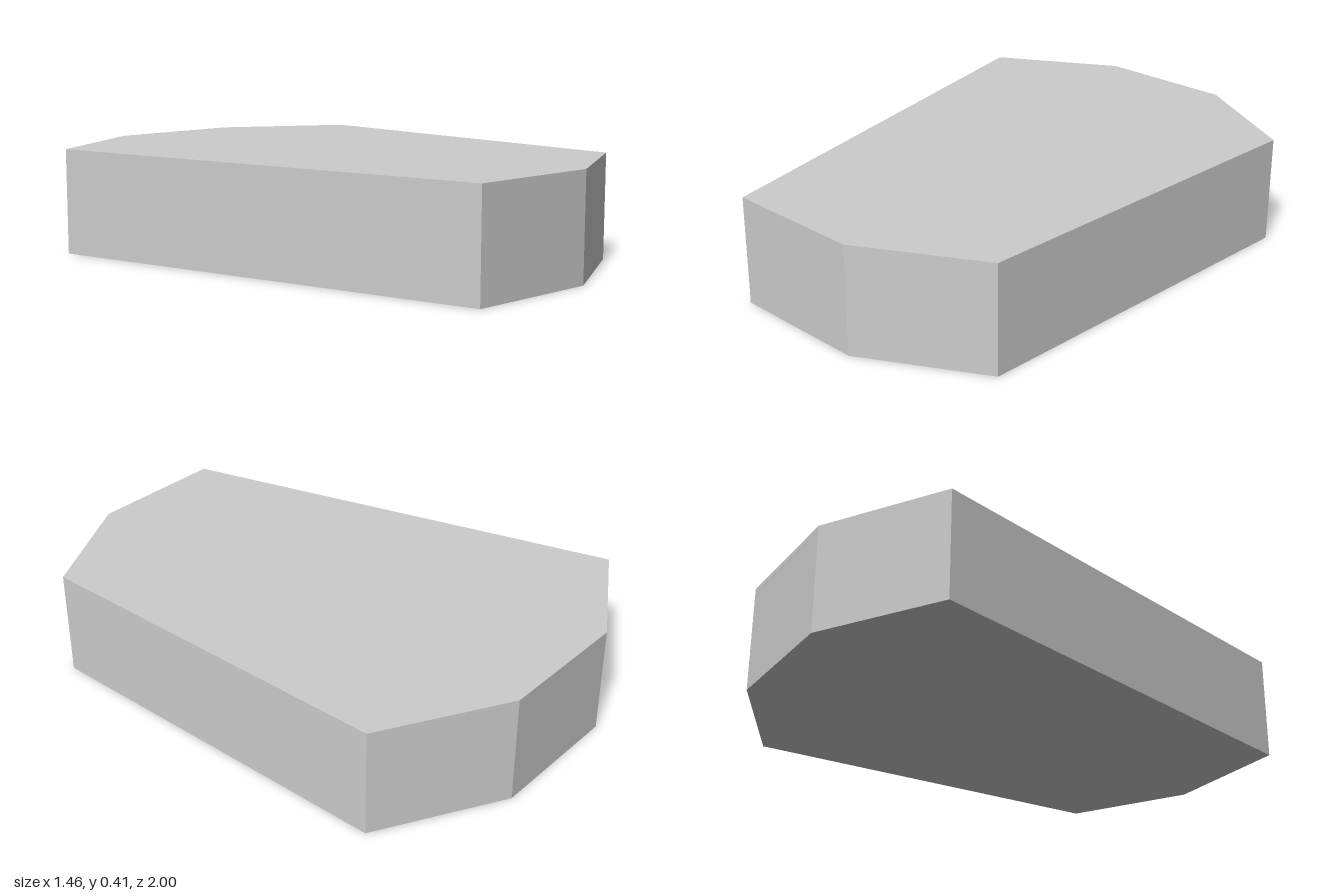
import * as THREE from 'three';

export function createModel() {
  const group = new THREE.Group();
  const grey = new THREE.MeshStandardMaterial({ color: 0xcccccc });
  grey.name = 'light grey';

  // Slab outline seen from above, as x and z
  const outline = [
    [-0.28, 1], [0.26, 1], [0.71, 0.75], [0.725, -0.735],
    [0.26, -1], [-0.28, -1], [-0.73, -0.735],
  ];
  const shape = new THREE.Shape(outline.map(([x, z]) => new THREE.Vector2(x, -z)));

  // Upright prism with flat facets, standing on the ground
  const geometry = new THREE.ExtrudeGeometry(shape, { depth: 0.41, bevelEnabled: false });
  geometry.rotateX(-Math.PI / 2);

  const slab = new THREE.Mesh(geometry, grey);
  slab.name = 'slab';
  group.add(slab);
  return group;
}
